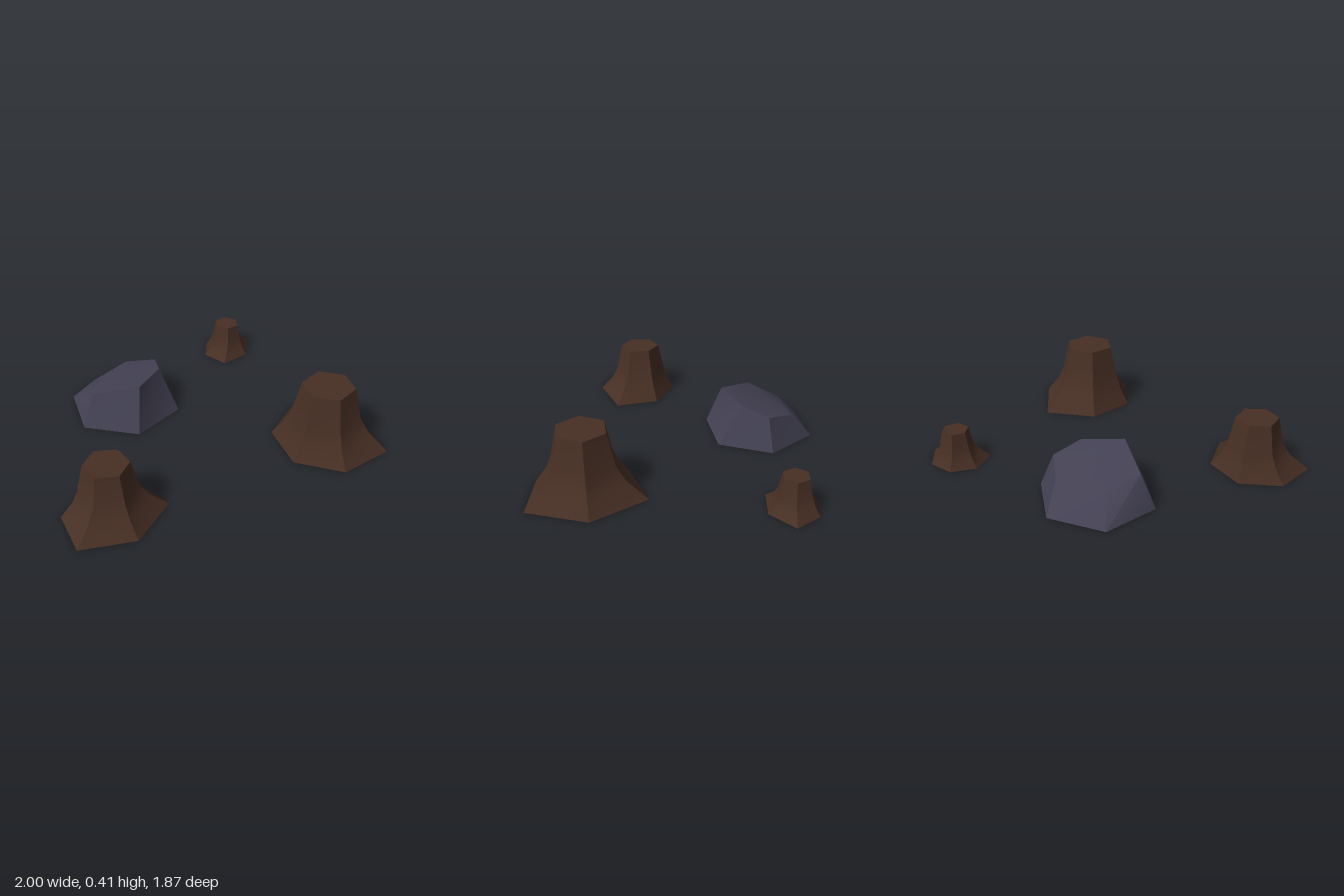
import * as THREE from 'three';
import { toCreasedNormals } from 'three/addons/utils/BufferGeometryUtils.js';

const material = (name, color) => {
  const m = new THREE.MeshStandardMaterial({ color });
  m.name = name;
  return m;
};

// Builds a geometry from triangles of [x, y, z] points, smooth over shallow bends only
function fromTriangles(triangles) {
  const geometry = new THREE.BufferGeometry();
  geometry.setAttribute('position', new THREE.Float32BufferAttribute(triangles.flat(), 3));
  return toCreasedNormals(geometry, 0.62);
}

// Solid through stacked loops of points, lowest first, with a separate underside
function loft(name, loops, skin, under) {
  const n = loops[0].length;
  const sides = [];
  for (let k = 0; k < loops.length - 1; k++) {
    const low = loops[k], high = loops[k + 1];
    for (let i = 0; i < n; i++) {
      const j = (i + 1) % n;
      sides.push(low[i], high[i], low[j], high[i], high[j], low[j]);
    }
  }
  const top = loops[loops.length - 1], base = loops[0], bottom = [];
  for (let i = 1; i < n - 1; i++) {
    sides.push(top[0], top[i + 1], top[i]);
    bottom.push(base[0], base[i], base[i + 1]);
  }
  const group = new THREE.Group();
  group.name = name;
  const body = new THREE.Mesh(fromTriangles(sides), skin);
  body.name = name + 'Body';
  const underside = new THREE.Mesh(fromTriangles(bottom), under);
  underside.name = name + 'Underside';
  group.add(body, underside);
  return group;
}

// Hexagonal trunk flaring into an irregular root outline
function stump({ name, center: [cx, cz], radius, start, height, bend, base }, skin, under) {
  const hexagon = (r, y) => base.map((_, i) => {
    const a = THREE.MathUtils.degToRad(start + 60 * i);
    return [cx + r * Math.cos(a), y, cz + r * Math.sin(a)];
  });
  const foot = base.map(([x, z]) => [x, 0, z]);
  const neck = hexagon(radius * 1.3, bend);
  const flare = neck.map(([x, , z], i) => [
    THREE.MathUtils.lerp(x, foot[i][0], 0.32),
    bend * 0.54,
    THREE.MathUtils.lerp(z, foot[i][2], 0.32),
  ]);
  return loft(name, [foot, flare, neck, hexagon(radius, height)], skin, under);
}

export function createModel() {
  const bark = material('bark brown', 0x472f24);
  const stone = material('slate stone', 0x434153);
  const earth = material('dark underside', 0x200b0a);
  const model = new THREE.Group();
  model.name = 'stumpsAndRock';

  // Three stumps; root outlines run clockwise from the back, as [x, z]
  const stumps = [
    {
      name: 'largeStump', center: [0.67, 0.425], radius: 0.16, start: -90, height: 0.41, bend: 0.205,
      base: [[0.635, 0.03], [0.96, 0.255], [1, 0.645], [0.67, 0.75], [0.41, 0.575], [0.39, 0.26]],
    },
    {
      name: 'mediumStump', center: [-0.727, 0.66], radius: 0.13, start: -111, height: 0.34, bend: 0.165,
      base: [[-0.82, 0.44], [-0.555, 0.465], [-0.395, 0.7], [-0.63, 0.935], [-0.957, 0.91], [-1, 0.635]],
    },
    {
      name: 'smallStump', center: [0.433, -0.776], radius: 0.083, start: -78, height: 0.215, bend: 0.105,
      base: [[0.475, -0.936], [0.625, -0.84], [0.545, -0.653], [0.358, -0.586], [0.262, -0.735], [0.32, -0.888]],
    },
  ];
  for (const s of stumps) model.add(stump(s, bark, earth));

  // Rock with a sloping top
  const rockBase = [
    [-0.438, 0, -0.68], [-0.118, 0, -0.51], [-0.107, 0, -0.147],
    [-0.412, 0, 0.04], [-0.733, 0, -0.13], [-0.743, 0, -0.49],
  ];
  const rockTop = [
    [-0.358, 0.167, -0.557], [-0.182, 0.213, -0.456], [-0.198, 0.26, -0.27],
    [-0.374, 0.278, -0.075], [-0.652, 0.21, -0.18], [-0.604, 0.165, -0.403],
  ];
  model.add(loft('rock', [rockBase, rockTop], stone, earth));
  return model;
}
